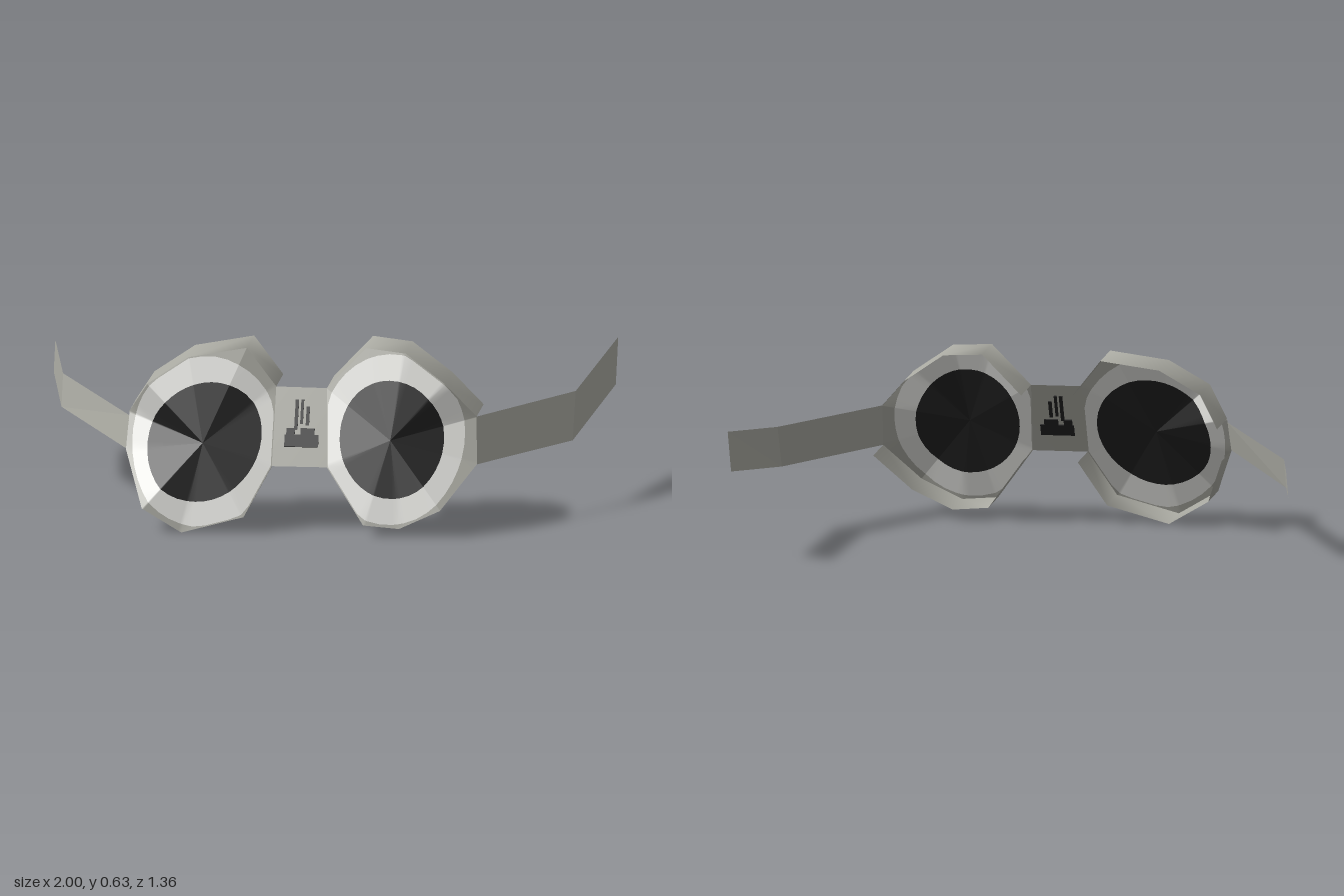
import * as THREE from 'three';

const material = (name, color) => {
  const m = new THREE.MeshStandardMaterial({ color, side: THREE.DoubleSide });
  m.name = name;
  return m;
};

// Sheet stretched between two rows of points
function strip(a, b, flat = false) {
  let geo = new THREE.BufferGeometry();
  geo.setAttribute('position', new THREE.Float32BufferAttribute([...a, ...b].flat(), 3));
  const n = a.length, index = [];
  for (let i = 0; i < n - 1; i++) index.push(i, n + i, i + 1, i + 1, n + i, n + i + 1);
  geo.setIndex(index);
  if (flat) geo = geo.toNonIndexed();
  geo.computeVertexNormals();
  return geo;
}

// Distance from the centre to the outline along an angle, and the depth there
function castToOutline(c, pts, t) {
  const dx = Math.cos(t), dy = Math.sin(t);
  for (let i = 0; i < pts.length; i++) {
    const p = pts[i], q = pts[(i + 1) % pts.length];
    const ex = q[0] - p[0], ey = q[1] - p[1];
    const px = p[0] - c[0], py = p[1] - c[1];
    const det = dx * ey - dy * ex;
    const r = (px * ey - py * ex) / det;
    const s = (px * dy - py * dx) / det;
    if (r > 0 && s >= -1e-6 && s <= 1 + 1e-6) return { r, z: p[2] + s * (q[2] - p[2]) };
  }
  return { r: 0.2, z: c[2] };
}

// Polar radius of a tilted ellipse
const ellipse = (t, rx, ry, tilt = 0) =>
  1 / Math.hypot(Math.cos(t - tilt) / rx, Math.sin(t - tilt) / ry);

export function createModel() {
  const model = new THREE.Group();
  model.name = 'goggles';
  const grey = material('frameGrey', 0xaaaaa2);
  const light = material('rimLight', 0xdededa);
  const black = material('lensBlack', 0x202020);

  const add = (parent, name, geo, mat) => {
    const mesh = new THREE.Mesh(geo, mat);
    mesh.name = name;
    parent.add(mesh);
    return mesh;
  };

  // Outlines run counter-clockwise: five upper points, then five lower ones
  const eyes = [
    {
      name: 'leftEye', center: [0.329, 0.328, 0.587], lens: [0.183, 0.198, 0.25], rim: [0.255, 0.285],
      outline: [
        [0.62, 0.395, 0.46], [0.515, 0.515, 0.5], [0.37, 0.617, 0.47], [0.227, 0.628, 0.443], [0.09, 0.484, 0.455],
        [0.105, 0.227, 0.59], [0.243, 0.04, 0.68], [0.37, 0.03, 0.68], [0.515, 0.098, 0.68], [0.63, 0.24, 0.54],
      ],
    },
    {
      name: 'rightEye', center: [-0.334, 0.305, 0.592], lens: [0.212, 0.19, 0.7], rim: [0.26, 0.285],
      outline: [
        [-0.09, 0.485, 0.45], [-0.195, 0.618, 0.435], [-0.4, 0.585, 0.462], [-0.54, 0.495, 0.5], [-0.61, 0.385, 0.44],
        [-0.615, 0.26, 0.51], [-0.54, 0.083, 0.68], [-0.4, 0, 0.68], [-0.18, 0.06, 0.68], [-0.09, 0.227, 0.59],
      ],
    },
  ];

  for (const { name, center: c, lens, rim, outline } of eyes) {
    const eye = new THREE.Group();
    eye.name = name;
    model.add(eye);

    // Concentric rings of the face plate, hitting every outline corner
    const angles = outline.map(p => Math.atan2(p[1] - c[1], p[0] - c[0]));
    for (let i = 0; i < 40; i++) angles.push(-Math.PI + (i + 0.37) * Math.PI / 20);
    angles.sort((a, b) => a - b);
    angles.push(angles[0] + 2 * Math.PI);
    const rings = [[], [], [], []];
    for (const t of angles) {
      const edge = castToOutline(c, outline, t);
      const rimR = Math.min(ellipse(t, ...rim), edge.r * 0.985);
      const lensR = Math.min(ellipse(t, ...lens), rimR * 0.97);
      [0, lensR, rimR, edge.r].forEach((r, k) => rings[k].push([
        c[0] + r * Math.cos(t), c[1] + r * Math.sin(t), c[2] + (edge.z - c[2]) * r / edge.r,
      ]));
    }
    add(eye, 'lens', strip(rings[0], rings[1]), black);
    add(eye, 'rim', strip(rings[1], rings[2]), light);
    add(eye, 'rimEdge', strip(rings[2], rings[3]), grey);

    // Upper and lower shields reaching backwards
    const back = outline.map(([x, y, z]) => [x, y, z - 0.22]);
    add(eye, 'upperShield', strip(outline.slice(0, 5), back.slice(0, 5)), grey);
    add(eye, 'lowerShield', strip(outline.slice(5), back.slice(5)), grey);
  }

  // Bridge between the eyes
  add(model, 'bridge', strip(
    [[-0.09, 0.485, 0.45], [0.09, 0.484, 0.455]],
    [[-0.09, 0.227, 0.59], [0.105, 0.227, 0.59]]), grey);

  // Dark patch with slots on the bridge: x, y, width, height
  const patch = new THREE.Group();
  patch.name = 'bridgePatch';
  patch.position.set(0, 0.356, 0.521);
  patch.rotation.x = -0.5;
  model.add(patch);
  const bars = [
    [0.01, -0.052, 0.12, 0.045], [-0.03, -0.018, 0.03, 0.025], [0.03, -0.018, 0.05, 0.025],
    [-0.012, 0.045, 0.012, 0.11], [0.007, 0.055, 0.01, 0.09], [0.028, 0.04, 0.012, 0.07],
  ];
  for (const [x, y, w, h] of bars) {
    add(patch, 'patchBar', new THREE.BoxGeometry(w, h, 0.008), black).position.set(x, y, 0);
  }

  // Flat bent temples
  add(model, 'leftTemple', strip(
    [[0.62, 0.395, 0.46], [0.915, 0.395, -0.03], [1, 0.475, -0.605]],
    [[0.63, 0.24, 0.54], [0.915, 0.237, 0.065], [1, 0.32, -0.53]], true), grey);
  add(model, 'rightTemple', strip(
    [[-0.615, 0.262, 0.505], [-0.925, 0.26, -0.21], [-1, 0.3, -0.63]],
    [[-0.61, 0.37, 0.45], [-0.925, 0.37, -0.26], [-1, 0.405, -0.68]], true), grey);

  return model;
}
